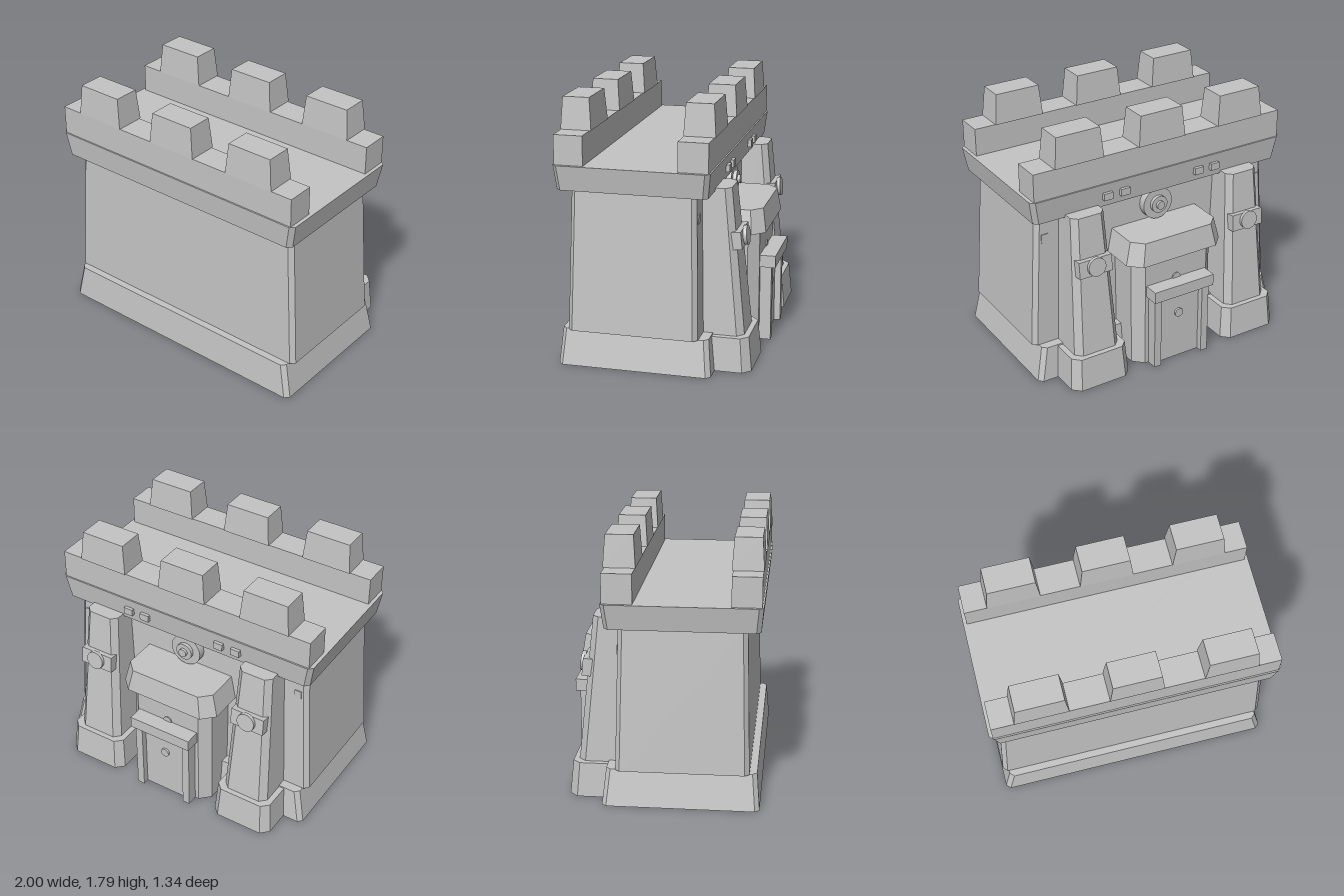
import * as THREE from 'three';

const stone = new THREE.MeshStandardMaterial({ color: 0xc4c4c4, side: THREE.DoubleSide });
stone.name = 'stone grey';

// Rectangle outline with cut corners, counter-clockwise from above
function ring([y, x0, x1, z0, z1, c]) {
  const pts = c
    ? [[x0 + c, z1], [x1 - c, z1], [x1, z1 - c], [x1, z0 + c], [x1 - c, z0], [x0 + c, z0], [x0, z0 + c], [x0, z1 - c]]
    : [[x0, z1], [x1, z1], [x1, z0], [x0, z0]];
  return pts.map(([x, z]) => [x, y, z]);
}

// Tapered block between two outlines, with optional open underside
function block(name, bottom, top, open = false) {
  const a = ring(bottom), b = ring(top), n = a.length, v = [];
  for (let i = 0; i < n; i++) {
    const j = (i + 1) % n;
    v.push(a[i], a[j], b[j], a[i], b[j], b[i]);
    if (i > 0 && i < n - 1) {
      v.push(b[0], b[i], b[j]);
      if (!open) v.push(a[0], a[j], a[i]);
    }
  }
  const geo = new THREE.BufferGeometry();
  geo.setAttribute('position', new THREE.Float32BufferAttribute(v.flat(), 3));
  geo.computeVertexNormals();
  return named(name, geo);
}

function named(name, geo) {
  const mesh = new THREE.Mesh(geo, stone);
  mesh.name = name;
  return mesh;
}

function box(name, x0, x1, y0, y1, z0, z1) {
  return block(name, [y0, x0, x1, z0, z1, 0], [y1, x0, x1, z0, z1, 0]);
}

// Round disc lying between two depths, facing the back
function disc(name, r, x, y, z0, z1, sides = 24) {
  const geo = new THREE.CylinderGeometry(r, r, z1 - z0, sides).rotateX(Math.PI / 2);
  geo.translate(x, y, (z0 + z1) / 2);
  return named(name, geo);
}

export function createModel() {
  const model = new THREE.Group();
  model.name = 'gatehouse';

  // Main body: hollow skirt, leaning wall, flared parapet
  model.add(
    block('baseSkirt', [0, -0.99, 0.99, -0.38, 0.665, 0.03], [0.245, -0.94, 0.94, -0.355, 0.645, 0.03], true),
    block('mainWall', [0.245, -0.98, 0.98, -0.29, 0.595, 0.03], [1.21, -0.92, 0.92, -0.27, 0.57, 0.03]),
    block('parapet', [1.21, -0.97, 0.97, -0.355, 0.655, 0.03], [1.38, -1, 1, -0.375, 0.67, 0.03])
  );

  // Battlements along front and back
  for (const [side, z0, z1] of [['front', 0.465, 0.66], ['back', -0.365, -0.165]]) {
    model.add(box(side + 'BattlementWall', -0.975, 0.975, 1.38, 1.58, z0, z1));
    for (const x of [-0.637, 0, 0.637]) {
      model.add(block(side + 'Merlon',
        [1.58, x - 0.183, x + 0.183, z0 - 0.01, z1 + 0.003, 0],
        [1.795, x - 0.163, x + 0.163, z0 + 0.005, z1 - 0.01, 0]));
    }
  }

  // Buttress pillars with lamps, and small wall details on each side
  for (const s of [-1, 1]) {
    const x = s * 0.62;
    model.add(
      block('pillarBase', [0, x - 0.228, x + 0.228, -0.62, -0.3, 0.055], [0.235, x - 0.21, x + 0.21, -0.597, -0.28, 0.05], true),
      block('pillarShaft', [0.235, x - 0.17, x + 0.17, -0.56, -0.2, 0.045], [1.23, x - 0.125, x + 0.125, -0.46, -0.2, 0.04])
    );
    const lamp = new THREE.Group();
    lamp.name = 'pillarLamp';
    lamp.add(box('lampBracket', -0.125, 0.125, -0.06, 0.06, -0.035, 0.04),
      disc('lampDisc', 0.066, 0, 0.005, -0.058, -0.03));
    lamp.position.set(x, 0.88, -0.497);
    lamp.rotation.x = 0.1;
    model.add(lamp);
    for (const bx of [0.298, 0.43]) {
      model.add(box('parapetBrick', s * bx - 0.034, s * bx + 0.034, 1.265, 1.315, -0.39, -0.35));
    }
    model.add(box('wallChip', s * 0.86 - 0.025, s * 0.86 + 0.025, 1.02, 1.08, -0.28, -0.272));
  }

  // Gate porch with chamfered hood
  model.add(
    block('porchBody', [0, -0.32, 0.32, -0.56, -0.2, 0.07], [0.82, -0.32, 0.32, -0.56, -0.2, 0.07], true),
    block('porchHood', [0.81, -0.38, 0.38, -0.61, -0.2, 0.085], [0.975, -0.34, 0.34, -0.585, -0.2, 0.075])
  );

  // Door, posts, lintel and knob
  model.add(
    box('doorPanel', -0.18, 0.18, 0, 0.54, -0.595, -0.55),
    box('doorLintel', -0.24, 0.24, 0.54, 0.625, -0.67, -0.55),
    disc('doorKnob', 0.032, 0, 0.36, -0.61, -0.59, 16),
    disc('porchStud', 0.032, 0, 0.63, -0.568, -0.55, 16)
  );
  for (const s of [-1, 1]) {
    model.add(box('doorPost', s * 0.195 - 0.027, s * 0.195 + 0.027, 0, 0.54, -0.64, -0.55));
  }

  // Stepped round medallion above the porch
  [[0.115, -0.325], [0.062, -0.35], [0.03, -0.37]].forEach(([r, z]) =>
    model.add(disc('medallionRing', r, 0, 1.095, z, -0.26)));

  return model;
}
